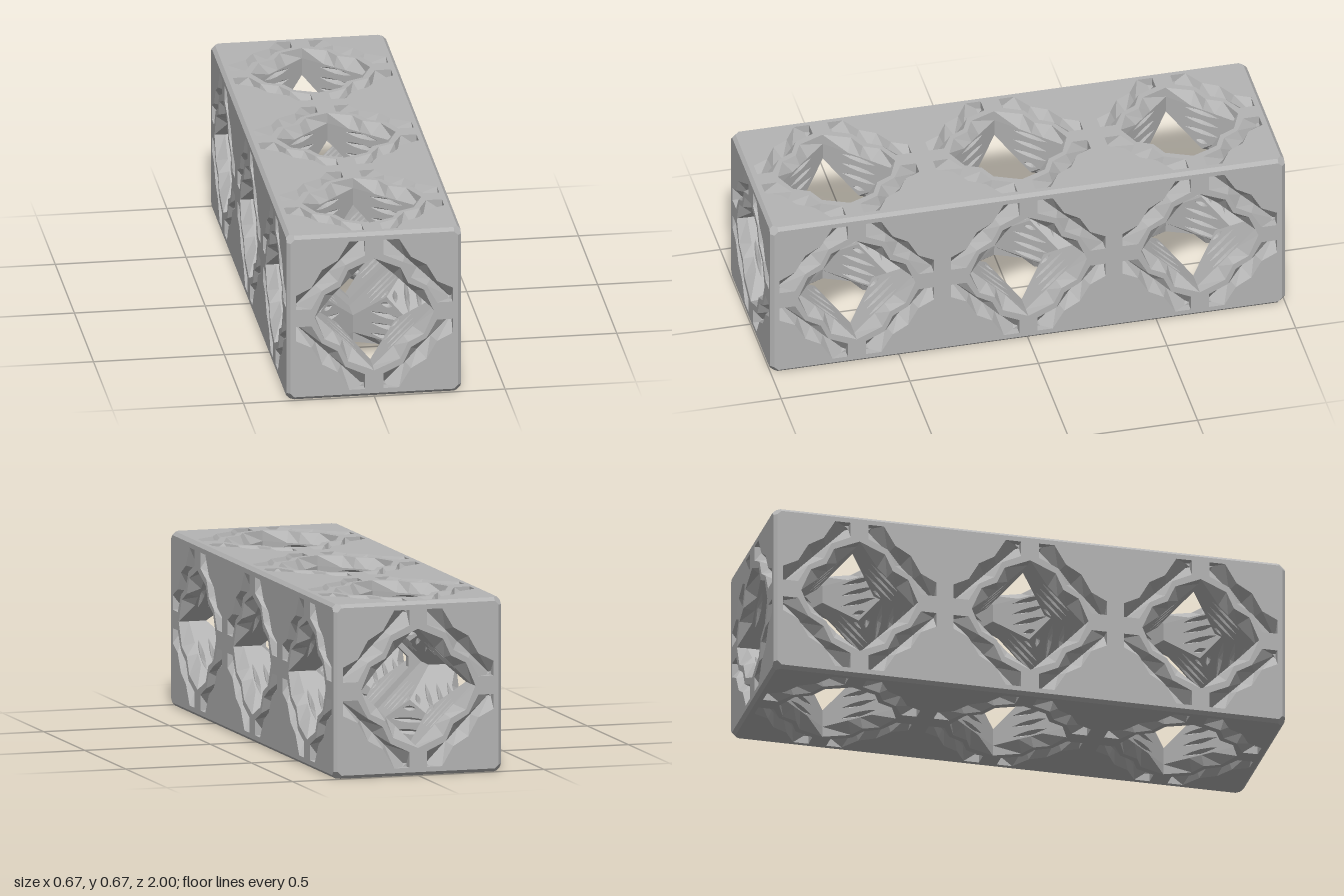
import * as THREE from 'three';

const H = 1 / 3;          // half width of one cubic cell
const A = 0.225;          // half diagonal of the diamond tunnels
const SINK = 0.04;        // depth of the wavy countersink
const GROOVE = 0.045;     // depth of the V slots
const C = 0.013, E = 0.028; // edge chamfer and corner cut

const V = (x, y, z) => new THREE.Vector3(x, y, z);
const P = (x, y) => new THREE.Vector2(x, y);
const RIM = [[0, 0.228], [0.1, 0.185], [0.13, 0.12], [0.19, 0.09]];
const SLOT_OUT = [[0.095, 0.302], [0.14, 0.227], [0.2, 0.192], [0.24, 0.122], [0.3, 0.092]];
const SLOT_IN = [[0.035, 0.242], [0.11, 0.207], [0.14, 0.142], [0.2, 0.107], [0.24, 0.035]];

// Flat-faced geometry from a list of convex polygons
function facets(polys) {
  const pts = [];
  for (const p of polys)
    for (let i = 1; i < p.length - 1; i++) pts.push(p[0], p[i], p[i + 1]);
  const g = new THREE.BufferGeometry().setFromPoints(pts);
  g.computeVertexNormals();
  return g;
}

// Closed wavy rim around a tunnel mouth, mirrored into four quadrants
function rimLoop() {
  const right = [...RIM, [0.228, 0], ...RIM.slice(1).reverse().map(([x, y]) => [x, -y])];
  const left = right.map(([x, y]) => [-x, -y]);
  left.forEach((p, i) => { if (i) left[i] = [-right[right.length - i][0], right[right.length - i][1]]; });
  return [...right, [0, -0.228], ...left.slice(1)].map(([x, y]) => P(x, y));
}

// The six outward directions: four long sides, then both ends
function directions() {
  const list = [];
  for (let k = 0; k < 4; k++) {
    const m = new THREE.Matrix4().makeRotationZ(k * Math.PI / 2);
    list.push({ m: m.multiply(new THREE.Matrix4().makeRotationY(Math.PI / 2)), end: 0 });
  }
  list.push({ m: new THREE.Matrix4(), end: 1 });
  list.push({ m: new THREE.Matrix4().makeRotationY(Math.PI), end: -1 });
  return list;
}

export function createModel() {
  const grey = new THREE.MeshStandardMaterial({ color: 0xb4b4b4, side: THREE.DoubleSide });
  grey.name = 'grey';
  const model = new THREE.Group();
  model.name = 'latticeBeam';
  const body = new THREE.Group();
  body.name = 'body';
  body.position.y = H;
  model.add(body);
  const add = (name, geometry, matrix) => {
    const mesh = new THREE.Mesh(geometry, grey);
    mesh.name = name;
    if (matrix) mesh.applyMatrix4(matrix);
    body.add(mesh);
  };

  const rim = rimLoop();
  const slotLoop = [...SLOT_OUT, [0.3, 0.035], ...[...SLOT_IN].reverse(), [0.035, 0.302]];
  const mirrors = [[1, 1], [-1, 1], [-1, -1], [1, -1]];

  // Outer panels with tunnel mouths and four V slots per cell
  for (const { m, end } of directions()) {
    const lu = end ? H : 1, d = end ? 1 : H;
    const centres = end ? [0] : [-2 * H, 0, 2 * H];
    const outline = [];
    mirrors.forEach(([sx, sy], i) => {
      const pair = [P(sx * (lu - C), sy * (H - E)), P(sx * (lu - E), sy * (H - C))];
      outline.push(...(i % 2 ? pair.reverse() : pair));
    });
    const panel = new THREE.Shape(outline);
    const sink = [], slots = [];
    for (const cu of centres) {
      panel.holes.push(new THREE.Path(rim.map(p => P(p.x + cu, p.y))));
      // countersink from wavy rim to straight diamond
      const top = rim.map(p => V(p.x + cu, p.y, d));
      const low = rim.map(p => {
        const k = A / (Math.abs(p.x) + Math.abs(p.y));
        return V(p.x * k + cu, p.y * k, d - SINK);
      });
      top.forEach((p, i) => {
        const j = (i + 1) % top.length;
        sink.push([p, low[i], low[j], top[j]]);
      });
      // zigzag V slots
      for (const [sx, sy] of mirrors) {
        const at = (x, y, z = d) => V(sx * x + cu, sy * y, z);
        panel.holes.push(new THREE.Path(slotLoop.map(([x, y]) => P(sx * x + cu, sy * y))));
        const bottom = SLOT_OUT.map(([x, y], i) => {
          const [u, v] = SLOT_IN[i];
          const t = (x + u - y - v) / 4;
          if (i === 0) return at(0.035, 0.302, d - GROOVE);
          if (i === 4) return at(0.3, 0.035, d - GROOVE);
          return at(0.168 + t, 0.168 - t, d - GROOVE);
        });
        const out = SLOT_OUT.map(p => at(...p)), inn = SLOT_IN.map(p => at(...p));
        for (let i = 0; i < 4; i++) {
          slots.push([out[i], out[i + 1], bottom[i + 1], bottom[i]]);
          slots.push([inn[i], bottom[i], bottom[i + 1], inn[i + 1]]);
        }
        for (const [i, corner] of [[0, at(0.035, 0.302)], [4, at(0.3, 0.035)]])
          slots.push([out[i], corner, bottom[i]], [corner, inn[i], bottom[i]]);
      }
    }
    add('panel', new THREE.ShapeGeometry(panel).translate(0, 0, d), m);
    add('countersinks', facets(sink), m);
    add('slots', facets(slots), m);
  }

  // Chamfered edges and cut corners
  const half = [H, H, 1], bevels = [];
  for (const sx of [-1, 1]) for (const sy of [-1, 1]) {
    for (let i = 0; i < 3; i++) {
      const j = (i + 1) % 3, k = (i + 2) % 3;
      const at = (a, b, c) => {
        const p = [];
        p[i] = a * (half[i] - E);
        p[j] = sx * (half[j] - b);
        p[k] = sy * (half[k] - c);
        return V(...p);
      };
      bevels.push([at(-1, 0, C), at(1, 0, C), at(1, C, 0), at(-1, C, 0)]);
    }
    for (const sz of [-1, 1])
      bevels.push([[0, C, E], [0, E, C], [C, E, 0], [E, C, 0], [E, 0, C], [C, 0, E]]
        .map(([a, b, c]) => V(sx * (H - a), sy * (H - b), sz * (1 - c))));
  }
  add('bevels', facets(bevels));

  // Tunnel walls: five-sided plates with lens-shaped thread notches
  const r = A / Math.SQRT2, q = Math.SQRT1_2;
  const wallFrame = new THREE.Matrix4().makeBasis(V(q, -q, 0), V(0, 0, 1), V(-q, -q, 0))
    .setPosition(A / 2, A / 2, 0);
  const makeWall = h => {
    const wall = new THREE.Shape([P(0, A / 2), P(r, A), P(r, h), P(-r, h), P(-r, A)]);
    const pits = [];
    for (const w of [0.145, 0.19, 0.235, 0.278]) {
      const n = 0.01, L = Math.min(0.075, (w - n - A / 2) * 1.2);
      const lens = [P(-L, w), P(-L / 2, w - n * 0.75), P(0, w - n), P(L / 2, w - n * 0.75),
        P(L, w), P(L / 2, w + n * 0.75), P(0, w + n), P(-L / 2, w + n * 0.75)];
      wall.holes.push(new THREE.Path(lens));
      lens.forEach((p, i) => {
        const o = lens[(i + 1) % lens.length];
        pits.push([V(p.x, p.y, 0), V(o.x, o.y, 0), V(0, w, -0.02)]);
      });
    }
    return [new THREE.ShapeGeometry(wall), facets(pits)];
  };
  const outerWall = makeWall(H - SINK), innerWall = makeWall(H);
  for (const cell of [-1, 0, 1])
    for (const { m, end } of directions()) {
      const [wall, notches] = end && cell !== end ? innerWall : outerWall;
      for (let j = 0; j < 4; j++) {
        const f = new THREE.Matrix4().makeTranslation(0, 0, cell * 2 * H).multiply(m)
          .multiply(new THREE.Matrix4().makeRotationZ(j * Math.PI / 2)).multiply(wallFrame);
        add('tunnelWall', wall, f);
        add('threadNotches', notches, f);
      }
    }

  // Narrow collars between neighbouring cells
  const collar = new THREE.Shape([P(A, 0), P(0, A), P(-A, 0), P(0, -A)]);
  collar.holes.push(new THREE.Path([P(0.175, 0.019), P(0, 0.194), P(-0.175, 0.019),
    P(-0.175, -0.019), P(0, -0.194), P(0.175, -0.019)]));
  const ring = new THREE.ExtrudeGeometry(collar, { depth: 0.03, bevelEnabled: false });
  for (const s of [-1, 1])
    add('collar', ring, new THREE.Matrix4().makeTranslation(0, 0, s * H - 0.015));

  return model;
}
